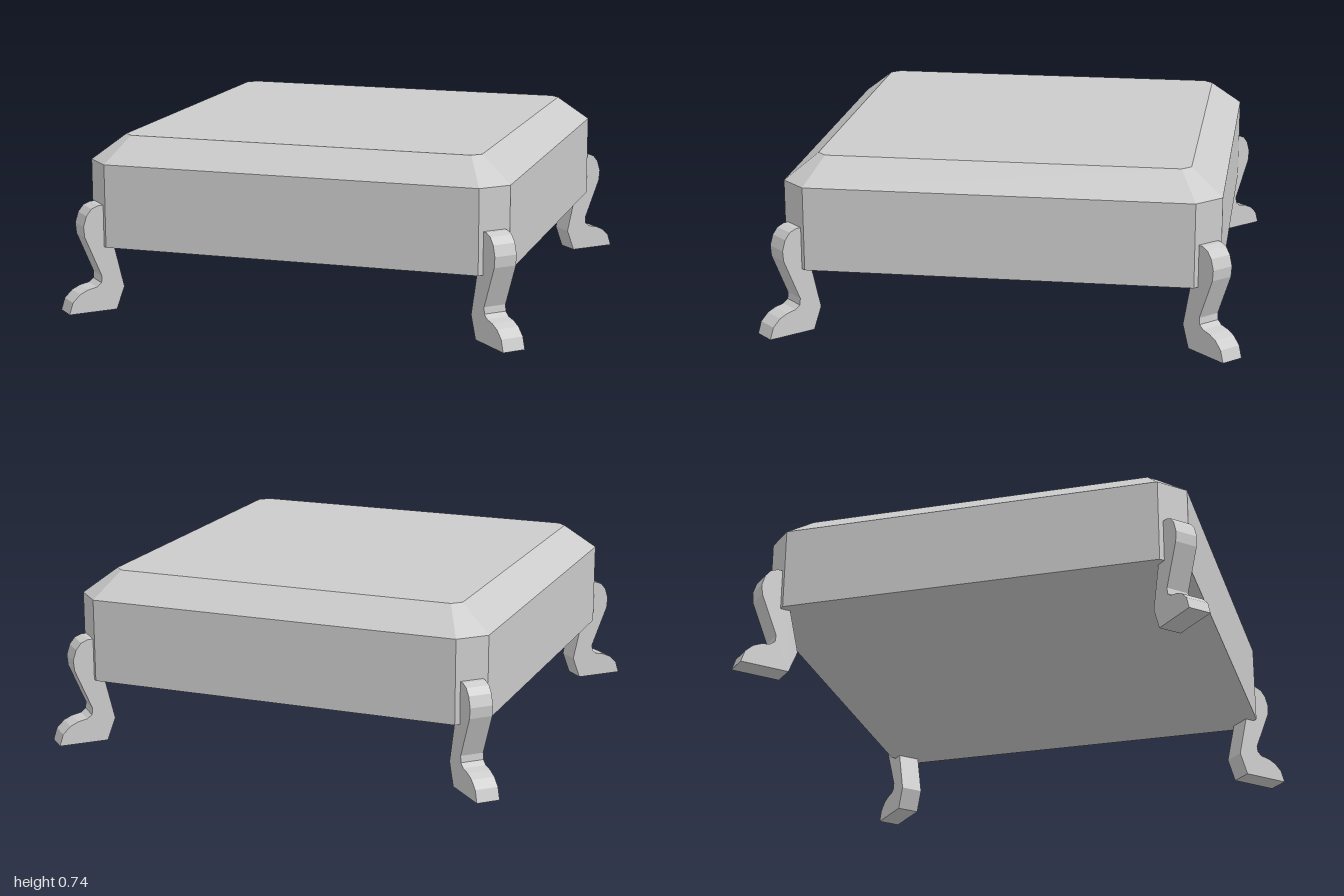
import * as THREE from 'three';

const material = new THREE.MeshStandardMaterial({ color: 0xcccccc, flatShading: true });

// Square with cut corners: half-width h, flat sides ending at c
function cutSquare(h, c, y) {
  return [[c, h], [h, c], [h, -c], [c, -h], [-c, -h], [-h, -c], [-h, c], [-c, h]]
    .map(([x, z]) => [x, y, z]);
}

// Skin between stacked rings, closed at both ends
function loft(rings) {
  const n = rings[0].length, index = [];
  for (let r = 0; r < rings.length - 1; r++) {
    for (let i = 0; i < n; i++) {
      const a = r * n + i, b = r * n + (i + 1) % n;
      index.push(a, b, b + n, a, b + n, a + n);
    }
  }
  const top = (rings.length - 1) * n;
  for (let i = 1; i < n - 1; i++) {
    index.push(0, i + 1, i, top, top + i, top + i + 1);
  }
  const indexed = new THREE.BufferGeometry();
  indexed.setAttribute('position', new THREE.Float32BufferAttribute(rings.flat(2), 3));
  indexed.setIndex(index);
  const geometry = indexed.toNonIndexed();
  geometry.computeVertexNormals();
  return geometry;
}

export function createModel() {
  const model = new THREE.Group();
  model.name = 'footstool';

  // Upright box with cut corners and a bevelled top
  const body = new THREE.Mesh(loft([
    cutSquare(0.902, 0.8, 0.277),
    cutSquare(0.902, 0.8, 0.63),
    cutSquare(0.77, 0.733, 0.735),
  ]), material);
  body.name = 'body';
  model.add(body);

  // Curved leg outline: distance out along the diagonal, height
  const outline = [
    [1.153, 0], [1.364, 0], [1.348, 0.05], [1.315, 0.082], [1.28, 0.098],
    [1.24, 0.106], [1.219, 0.122], [1.216, 0.15], [1.288, 0.325], [1.292, 0.37],
    [1.278, 0.415], [1.255, 0.443], [1.225, 0.455], [1.17, 0.455], [1.16, 0.28],
    [1.117, 0.095],
  ].map(([d, y]) => new THREE.Vector2(d, y));
  const width = 0.1;
  const legGeometry = new THREE.ExtrudeGeometry(new THREE.Shape(outline), {
    depth: width, bevelEnabled: false,
  });
  legGeometry.translate(0, 0, -width / 2);

  // One leg pointing out of each corner
  ['backLeft', 'backRight', 'frontRight', 'frontLeft'].forEach((corner, i) => {
    const leg = new THREE.Mesh(legGeometry, material);
    leg.name = corner + 'Leg';
    leg.rotation.y = Math.PI / 4 + i * Math.PI / 2;
    model.add(leg);
  });

  return model;
}
